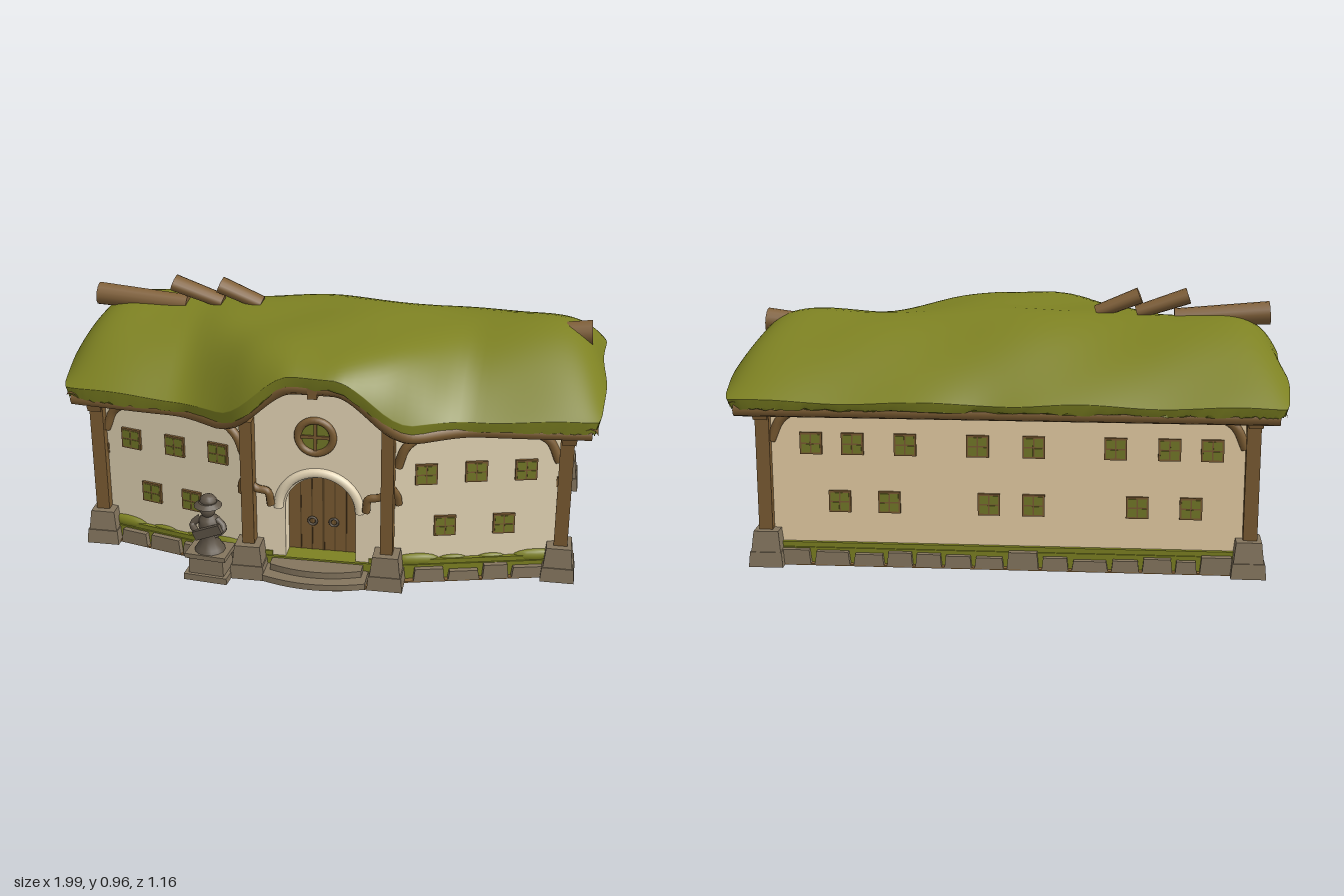
import * as THREE from 'three';

const mat = (name, color) => Object.assign(new THREE.MeshStandardMaterial({ color }), { name });
const M = {
  moss: mat('moss', 0x7d8122), cream: mat('plaster', 0xf1d8ac), light: mat('lightPlaster', 0xffeecb),
  wood: mat('timber', 0x7a5b32), dark: mat('darkTimber', 0x574022), stone: mat('stone', 0x84755e),
  statue: mat('carvedStone', 0x5e5447), pane: mat('windowPane', 0x747928), earth: mat('earth', 0x866438),
  log: mat('log', 0x806039),
};
const V = (x, y, z) => new THREE.Vector3(x, y, z);
const smooth = THREE.MathUtils.smoothstep;
let seed = 7;
const rnd = () => (seed = (seed * 16807) % 2147483647) / 2147483647;

function add(parent, name, geo, material, x = 0, y = 0, z = 0, ry = 0) {
  const m = new THREE.Mesh(geo, material);
  m.name = name;
  m.position.set(x, y, z);
  m.rotation.y = ry;
  parent.add(m);
  return m;
}
const box = (w, h, d) => new THREE.BoxGeometry(w, h, d);
// Box whose top is scaled, standing on y = 0
function block(w, h, d, k = 0.8) {
  const g = box(w, h, d).translate(0, h / 2, 0), p = g.attributes.position;
  for (let i = 0; i < p.count; i++) if (p.getY(i) > h / 2) p.setXYZ(i, p.getX(i) * k, h, p.getZ(i) * k);
  g.computeVertexNormals();
  return g;
}
// Straight square beam or round log between two points
function span(parent, name, a, b, geo, material) {
  const m = add(parent, name, geo, material);
  m.position.copy(a).lerp(b, 0.5);
  m.quaternion.setFromUnitVectors(V(0, 1, 0), b.clone().sub(a).normalize());
}
const beam = (p, name, a, b) => span(p, name, a, b, box(0.03, a.distanceTo(b), 0.04), M.wood);
const log = (p, name, a, b, r, wide = 1) =>
  span(p, name, a, b, new THREE.CylinderGeometry(r * 0.85, r, a.distanceTo(b), 14).scale(1, 1, wide), M.log);
const tube = (p, name, pts, r, material = M.wood, n = 16) =>
  add(p, name, new THREE.TubeGeometry(new THREE.CatmullRomCurve3(pts), n, r, 8), material);
// Floor-plan outline extruded upward
function slab(plan, y0, y1) {
  const s = new THREE.Shape(plan.map(([x, z]) => new THREE.Vector2(x, z)));
  return new THREE.ExtrudeGeometry(s, { depth: y1 - y0, bevelEnabled: false }).rotateX(Math.PI / 2).translate(0, y1, 0);
}
const mirrorPlan = (half) => [...half, ...half.map(([x, z]) => [-x, z]).reverse()];

// Roof rules: arch over the porch, front eave line and underside height
const bell = (x) => 1 - smooth(Math.abs(x + 0.01), 0.07, 0.36);
const frontZ = (x) => 0.36 + 0.065 * (1 - x * x) + 0.115 * (1 - smooth(Math.abs(x), 0.22, 0.56));
const roofZ = (x, t) => (t < 0 ? -0.08 + t * 0.49 : -0.08 + t * (frontZ(x) + 0.08));
const underY = (x, t) => 0.61 + 0.05 * (1 - t * t) + 0.18 * bell(x) * smooth(t, 0.2, 0.9);

function roofGeometry() {
  const NX = 90, NT = 40, ring = 2 * (NT + 1), pos = [], idx = [];
  for (let i = 0; i <= NX; i++) {
    const x = Math.sin((i / NX - 0.5) * Math.PI), top = [], under = [];
    for (let j = 0; j <= NT; j++) {
      const t = Math.sin((j / NT - 0.5) * Math.PI), b = t > 0 ? bell(x) : 0;
      const lo = underY(x, t), thick = t < 0 ? 0.045 - 0.025 * t * t : 0.045 - 0.01 * t * t;
      const rim = lo + thick, eave = (t < 0 ? 0.63 : 0.645) + 0.18 * b;
      const ridge = 0.877 + 0.012 * Math.cos(6 * x);
      const steep = t < 0 ? 1.6 : 1.8 + 5.5 * (1 - smooth(Math.abs(x + 0.01), 0.1, 0.55));
      const target = eave + (ridge - eave) * (1 - Math.abs(t) ** steep);
      const y = rim + (target - rim) * (1 - Math.abs(x) ** 13);
      const z = roofZ(x, t), wob = 0.007 * Math.sin(11 * x + 3 * z) * Math.sin(9 * z + 1);
      const ex = x * (0.99 + 0.006 * Math.sin(14 * z) - 0.015 * Math.abs(t) ** 20);
      const ez = z * (1 - 0.03 * Math.abs(x) ** 30) + 0.005 * Math.abs(t) ** 6 * Math.sin(9 * x + 2 * Math.sin(5 * x));
      top.push([ex, y + wob, ez]);
      under.unshift([ex * 0.99, lo - 0.016 * rnd(), ez * 0.985]);
    }
    [...top, ...under].forEach((p) => pos.push(...p));
  }
  const at = (i, j) => i * ring + (j % ring);
  for (let i = 0; i < NX; i++)
    for (let j = 0; j < ring; j++) {
      const a = at(i, j), b = at(i + 1, j), c = at(i, j + 1), d = at(i + 1, j + 1);
      idx.push(a, c, b, b, c, d);
    }
  // Gable ends
  for (let j = 0; j < NT; j++) {
    const q = (i) => [at(i, ring - 1 - j), at(i, j), at(i, j + 1), at(i, ring - 2 - j)];
    const [a, b, c, d] = q(NX), [e, f, g, h] = q(0);
    idx.push(a, b, c, a, c, d, e, g, f, e, h, g);
  }
  const geo = new THREE.BufferGeometry();
  geo.setAttribute('position', new THREE.Float32BufferAttribute(pos, 3));
  geo.setIndex(idx);
  geo.computeVertexNormals();
  return geo;
}

// Board frame with four thin panes, facing local +z
function windowAt(parent, x, y, z, ry, w = 0.08, h = 0.08) {
  const g = new THREE.Group();
  g.name = 'window';
  g.position.set(x, y, z);
  g.rotation.y = ry;
  add(g, 'windowFrame', box(w, h, 0.014), M.wood);
  for (const i of [-1, 1]) for (const j of [-1, 1])
    add(g, 'windowPane', box(w * 0.38, h * 0.38, 0.006), M.pane, i * w * 0.225, j * h * 0.225, 0.006);
  parent.add(g);
}
function archShape(w, y0, spring) {
  const s = new THREE.Shape().moveTo(-w, y0).lineTo(w, y0).lineTo(w, spring);
  s.absarc(0, spring, w, 0, Math.PI, false);
  return s.lineTo(-w, y0);
}
// Stone foot in two tapering courses
function postBase(g, x, z, w, d) {
  add(g, 'postFoot', block(w, 0.055, d, 0.92), M.stone, x, 0, z);
  add(g, 'postBase', block(w * 0.86, 0.075, d * 0.86, 0.84), M.stone, x, 0.055, z);
}

function buildPorch(g) {
  // Front wall with arched doorway
  const s = new THREE.Shape().moveTo(-0.26, 0.04).lineTo(0.26, 0.04);
  for (let i = 0; i <= 24; i++) { const x = 0.26 - (i / 24) * 0.52; s.lineTo(x, underY(x, 0.95) + 0.02); }
  s.holes.push(archShape(0.13, 0.05, 0.265));
  add(g, 'porchWall', new THREE.ExtrudeGeometry(s, { depth: 0.09, bevelEnabled: false, curveSegments: 20 }), M.light, 0, 0, 0.35);
  add(g, 'doorHood', new THREE.TorusGeometry(0.15, 0.018, 8, 28, Math.PI), M.light, -0.005, 0.265, 0.44);
  // Double door
  const door = new THREE.ExtrudeGeometry(archShape(0.13, 0.05, 0.265), { depth: 0.02, bevelEnabled: false, curveSegments: 20 });
  add(g, 'door', door, M.wood, 0, 0, 0.355);
  for (const x of [-0.085, -0.043, 0, 0.043, 0.085])
    add(g, 'doorSeam', box(x ? 0.004 : 0.008, 0.31, 0.004), M.dark, x, 0.21, 0.376);
  for (const x of [-0.04, 0.04]) add(g, 'doorRing', new THREE.TorusGeometry(0.015, 0.005, 6, 16), M.statue, x, 0.185, 0.382);
  // Round window
  add(g, 'roundWindowRing', new THREE.TorusGeometry(0.064, 0.014, 8, 28), M.wood, -0.015, 0.56, 0.445);
  add(g, 'roundWindowPane', new THREE.CylinderGeometry(0.06, 0.06, 0.008, 24).rotateX(Math.PI / 2), M.pane, -0.015, 0.56, 0.442);
  add(g, 'roundWindowBar', box(0.012, 0.12, 0.014), M.wood, -0.015, 0.56, 0.445);
  add(g, 'roundWindowBar', box(0.12, 0.012, 0.014), M.wood, -0.015, 0.56, 0.445);
  add(g, 'keystone', box(0.035, 0.045, 0.03), M.wood, -0.01, 0.765, 0.515);
  // Rounded steps
  for (const [w, y0, y1, z] of [[0.19, 0.006, 0.03, 0.54], [0.17, 0.03, 0.055, 0.495]]) {
    const c = new THREE.Shape().moveTo(-w, 0.36).lineTo(w, 0.36).lineTo(w, z).quadraticCurveTo(0, z + 0.07, -w, z);
    add(g, 'step', new THREE.ExtrudeGeometry(c, { depth: y1 - y0, bevelEnabled: false }).rotateX(Math.PI / 2), M.stone, -0.01, y1, 0);
  }
  for (const k of [-1, 1]) {
    const x = k * 0.255 - 0.005;
    add(g, 'porchPost', box(0.045, 0.51, 0.05), M.wood, x, 0.365, 0.465);
    postBase(g, x, 0.475, 0.13, 0.115);
    tube(g, 'doorBracket', [V(x, 0.37, 0.46), V(x - k * 0.03, 0.345, 0.46), V(x - k * 0.07, 0.335, 0.46), V(x - k * 0.08, 0.28, 0.455)], 0.015);
    tube(g, 'postBracket', [V(x, 0.4, 0.455), V(x + k * 0.03, 0.35, 0.44), V(x + k * 0.035, 0.31, 0.43)], 0.014);
  }
}

function buildStatue(root) {
  const g = new THREE.Group();
  g.name = 'statue';
  g.position.set(-0.4, 0, 0.51);
  g.rotation.y = -0.1;
  add(g, 'plinthFoot', box(0.165, 0.025, 0.13), M.stone, 0, 0.0125, 0);
  add(g, 'plinth', block(0.135, 0.065, 0.105, 0.95), M.stone, 0, 0.025, 0);
  add(g, 'plinthCap', box(0.155, 0.018, 0.12), M.stone, 0, 0.098, 0);
  const robe = [[0.058, 0], [0.05, 0.015], [0.034, 0.04], [0.03, 0.07], [0.04, 0.1], [0.036, 0.13], [0.012, 0.15]];
  add(g, 'robe', new THREE.LatheGeometry(robe.map(([r, y]) => new THREE.Vector2(r, y)), 14), M.statue, 0, 0.105, 0);
  add(g, 'head', new THREE.SphereGeometry(0.029, 14, 10), M.statue, 0, 0.272, 0.008);
  add(g, 'hatBrim', new THREE.CylinderGeometry(0.034, 0.052, 0.014, 14), M.statue, 0, 0.296, 0.004);
  add(g, 'hatCrown', new THREE.SphereGeometry(0.032, 12, 8).scale(1, 0.8, 1), M.statue, 0, 0.305, 0);
  for (const k of [-1, 1])
    tube(g, 'arm', [V(k * 0.03, 0.235, 0), V(k * 0.06, 0.205, 0.01), V(k * 0.03, 0.185, 0.04)], 0.013, M.statue, 8);
  add(g, 'heldBoard', box(0.11, 0.035, 0.018), M.statue, 0.01, 0.2, 0.045).rotation.z = 0.4;
  root.add(g);
}

export function createModel() {
  const g = new THREE.Group();
  g.name = 'thatchedHall';
  // Walls and base
  add(g, 'walls', slab(mirrorPlan([[0.85, -0.44], [0.85, 0.28], [0.25, 0.43], [0.25, 0.36]]), 0.05, 0.645), M.cream);
  for (const k of [-1, 1]) {
    const panel = [[0.85, 0.27], [0.85, 0.283], [0.25, 0.433], [0.25, 0.42]].map(([x, z]) => [k * x, z]);
    add(g, 'frontPanel', slab(panel, 0.05, 0.64), M.light);
  }
  const base = [[0.87, -0.46], [0.87, 0.3], [0.26, 0.45]];
  add(g, 'foundation', slab(mirrorPlan(base), 0.006, 0.062), M.moss);
  add(g, 'underside', slab(mirrorPlan([[0.89, -0.48], [0.89, 0.315], [0.31, 0.46], [0.3, 0.5], [0.18, 0.53], [0.08, 0.56]]), 0, 0.006), M.earth);
  add(g, 'mossBand', slab(mirrorPlan([[0.865, -0.455], [0.865, 0.295], [0.26, 0.446], [0.18, 0.446], [0.18, 0.36]]), 0.06, 0.08), M.moss);
  // Foundation stones along every side except the doorway
  const o = mirrorPlan(base);
  o.forEach(([x0, z0], i) => {
    if (i === 2) return;
    const [x1, z1] = o[(i + 1) % o.length], len = Math.hypot(x1 - x0, z1 - z0), ry = -Math.atan2(z1 - z0, x1 - x0);
    for (let d = 0.05; d < len - 0.08;) {
      const w = 0.08 + 0.07 * rnd(), f = (d + w / 2) / len;
      add(g, 'foundationStone', block(w * 0.9, 0.035 + 0.03 * rnd(), 0.045, 0.9), M.stone, x0 + (x1 - x0) * f, 0.004, z0 + (z1 - z0) * f, ry);
      d += w;
    }
  });
  // Low moss clumps where the front walls meet the posts
  for (const k of [-1, 1]) for (const [x, r] of [[0.78, 0.05], [0.62, 0.03], [0.48, 0.03], [0.35, 0.05]])
    add(g, 'mossClump', new THREE.SphereGeometry(r, 12, 8).scale(1.7, 0.5, 0.4), M.moss, k * x, 0.075, 0.283 + (0.85 - x) * 0.25, k * 0.245);

  // Roof and the beams under its edges
  add(g, 'mossRoof', roofGeometry(), M.moss);
  const N = 48, edge = (f) => Array.from({ length: N + 1 }, (_, i) => f((i / N) * 2 - 1));
  tube(g, 'frontEaveBeam', edge((u) => V(u * 0.95, underY(u * 0.95, 1) - 0.015, frontZ(u * 0.95) - 0.035)), 0.026, M.wood, 96);
  tube(g, 'backEaveBeam', edge((u) => V(u * 0.95, 0.592, -0.53)), 0.026, M.wood, 24);
  for (const k of [-1, 1]) {
    tube(g, 'gableBeam', edge((u) => V(k * 0.945, underY(1, u) - 0.012, roofZ(0.95, u) * 0.97)), 0.028, M.wood, 40);
    add(g, 'gableFill', box(0.08, 0.03, 0.7), M.wood, k * 0.89, 0.635, -0.08);
  }

  // Corner posts, timber framing and side windows
  for (const k of [-1, 1]) {
    for (const z of [0.295, -0.445]) {
      add(g, 'cornerPost', box(0.05, 0.5, 0.05), M.wood, k * 0.87, 0.36, z);
      add(g, 'cornerPostCap', block(0.05, 0.07, 0.06, 1.35), M.wood, k * 0.875, 0.54, z);
      postBase(g, k * 0.865, z, 0.125, 0.14);
    }
    const x = k * 0.855;
    beam(g, 'sideRail', V(x, 0.375, 0.29), V(x, 0.435, -0.43));
    beam(g, 'longBrace', V(x, 0.365, 0.24), V(x, 0.075, -0.3));
    beam(g, 'shortBrace', V(x, 0.395, -0.19), V(x, 0.075, -0.38));
    for (const [z, y, w, h] of [[0.14, 0.46, 0.07, 0.05], [-0.075, 0.485, 0.08, 0.08], [-0.19, 0.49, 0.07, 0.07]])
      windowAt(g, k * 0.853, y, z, (k * Math.PI) / 2, w, h);
    // Curved braces on the front and back walls
    const wz = (a) => 0.29 + (0.85 - a) * 0.25;
    const brace = (a, b, z) => tube(g, 'curvedBrace', [V(k * a, 0.46, z(a)), V(k * (a + (b - a) * 0.3), 0.54, z(a)), V(k * b, 0.595, z(b))], 0.017);
    brace(0.845, 0.71, wz);
    brace(0.28, 0.38, wz);
    brace(0.845, 0.71, () => -0.445);
  }

  // Front and back windows
  const front = [[-0.74, 0.435], [-0.56, 0.44], [-0.385, 0.445], [-0.665, 0.225], [-0.5, 0.225],
    [0.38, 0.425], [0.555, 0.43], [0.73, 0.43], [0.45, 0.215], [0.66, 0.215]];
  for (const [x, y] of front) windowAt(g, x, y, 0.286 + (0.85 - Math.abs(x)) * 0.25, Math.sign(x) * 0.245);
  for (const x of [0.7, 0.55, 0.36, 0.1, -0.1, -0.39, -0.58, -0.73]) windowAt(g, x, 0.45, -0.443, Math.PI);
  for (const x of [0.6, 0.42, 0.06, -0.1, -0.47, -0.66]) windowAt(g, x, 0.235, -0.443, Math.PI);

  buildPorch(g);
  buildStatue(g);

  // Ridge logs
  log(g, 'ridgeLog', V(-0.95, 0.875, -0.04), V(-0.6, 0.85, -0.04), 0.043);
  log(g, 'ridgeLog', V(-0.65, 0.935, -0.04), V(-0.46, 0.87, -0.04), 0.03, 1.5);
  log(g, 'ridgeLog', V(-0.47, 0.935, -0.045), V(-0.31, 0.87, -0.045), 0.03, 1.5);
  log(g, 'ridgeStub', V(0.935, 0.826, -0.058), V(0.8, 0.815, -0.058), 0.047);
  return g;
}
